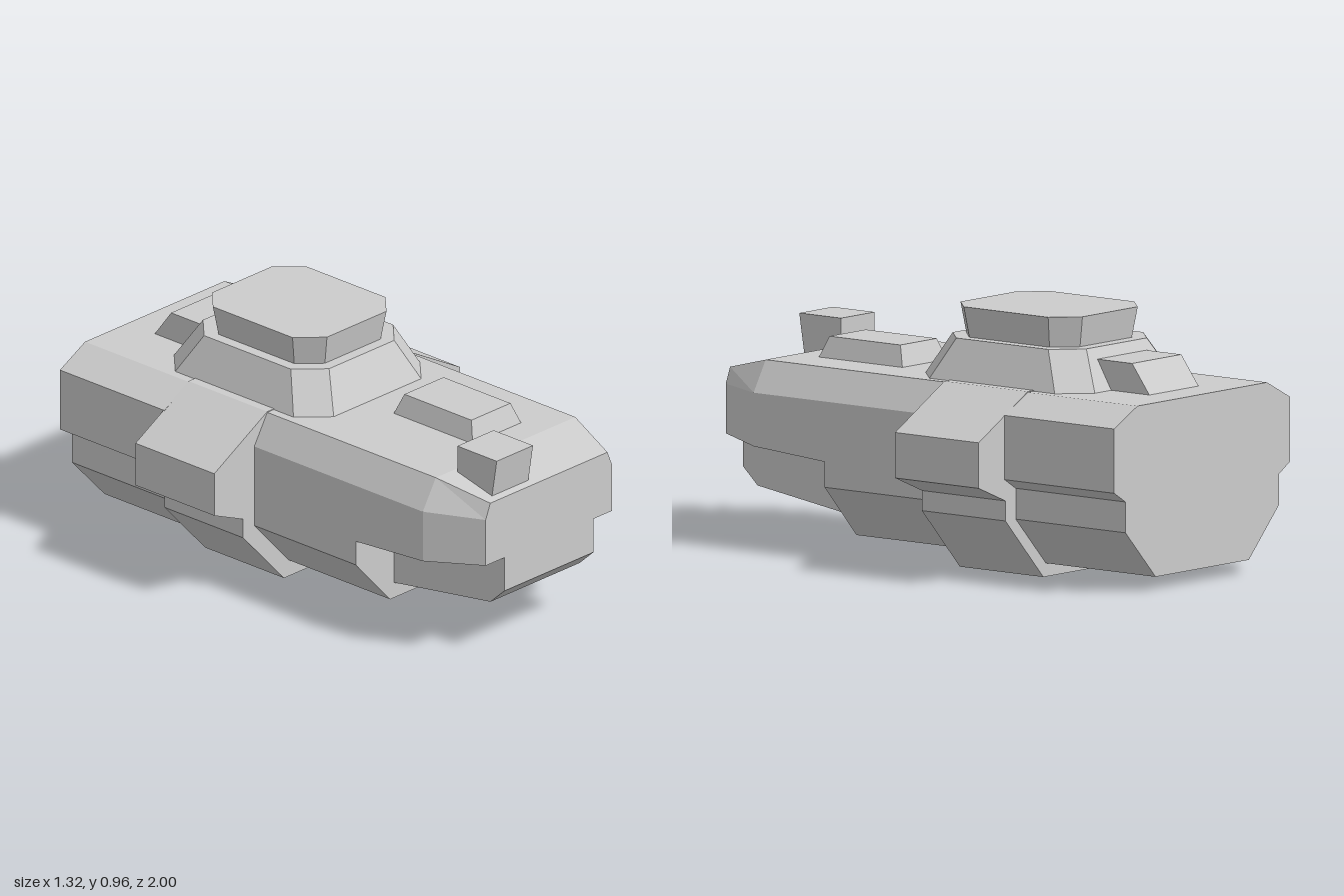
import * as THREE from 'three';

const material = new THREE.MeshStandardMaterial({ color: 0xcccccc, flatShading: true });

function add(group, name, geometry) {
  const mesh = new THREE.Mesh(geometry, material);
  mesh.name = name;
  group.add(mesh);
}

// Right-hand half outline [x, y], listed bottom to top, mirrored into a closed ring
function mirror(half) {
  return [...half, ...half.map(([x, y]) => [-x, y]).reverse()];
}

function extrude(points, depth) {
  const shape = new THREE.Shape(points.map(([x, y]) => new THREE.Vector2(x, y)));
  return new THREE.ExtrudeGeometry(shape, { depth, bevelEnabled: false });
}

// Symmetric cross-section carried from z0 to z1
function hullSection(half, z0, z1) {
  return extrude(mirror(half), z1 - z0).translate(0, 0, z0);
}

// Side outline [z, y] carried across from x0 to x1
function sideProfile(points, x0, x1) {
  return extrude(points, x1 - x0).rotateY(-Math.PI / 2).translate(x1, 0, 0);
}

// Skin over a series of matching convex rings, capped at both ends
function loft(rings) {
  const n = rings[0].length;
  const index = [];
  for (let r = 0; r < rings.length - 1; r++) {
    for (let i = 0; i < n; i++) {
      const j = (i + 1) % n;
      const a = r * n + i, b = r * n + j;
      index.push(a, b, b + n, a, b + n, a + n);
    }
  }
  const top = (rings.length - 1) * n;
  for (let i = 1; i < n - 1; i++) {
    index.push(0, i + 1, i, top, top + i, top + i + 1);
  }
  const indexed = new THREE.BufferGeometry();
  indexed.setAttribute('position', new THREE.Float32BufferAttribute(rings.flat(2), 3));
  indexed.setIndex(index);
  const geometry = indexed.toNonIndexed();
  geometry.computeVertexNormals();
  return geometry;
}

// Horizontal rectangle with cut corners (cut 0 gives a plain rectangle)
function plateRing(cx, cz, hx, hz, y, cut = 0) {
  const points = cut > 0
    ? [[hx, hz - cut], [hx, cut - hz], [hx - cut, -hz], [cut - hx, -hz],
       [-hx, cut - hz], [-hx, hz - cut], [cut - hx, hz], [hx - cut, hz]]
    : [[hx, hz], [hx, -hz], [-hx, -hz], [-hx, hz]];
  return points.map(([x, z]) => [cx + x, y, cz + z]);
}

export function createModel() {
  const model = new THREE.Group();
  model.name = 'armouredHull';

  // Main hull: rear, wide middle and forward sections
  add(model, 'rearHull', hullSection(
    [[0.27, 0.05], [0.445, 0.235], [0.445, 0.35], [0.51, 0.39], [0.51, 0.63], [0.375, 0.7]], -1, -0.47));
  add(model, 'middleHull', hullSection(
    [[0.285, 0], [0.505, 0.235], [0.505, 0.31], [0.66, 0.375], [0.66, 0.545], [0.375, 0.703]], -0.475, -0.075));
  add(model, 'forwardHull', hullSection(
    [[0.26, 0.065], [0.445, 0.265], [0.445, 0.585], [0.375, 0.7]], -0.08, 0.44));

  // Upper nose, tapering towards the front
  const noseRings = [
    [0.44, [[0.445, 0.36], [0.445, 0.585], [0.375, 0.7]]],
    [0.78, [[0.445, 0.385], [0.445, 0.585], [0.375, 0.7]]],
    [1.0, [[0.34, 0.4], [0.34, 0.585], [0.315, 0.645]]],
  ].map(([z, half]) => mirror(half).map(([x, y]) => [x, y, z]));
  add(model, 'upperNose', loft(noseRings));

  // Narrow lower nose between the front recesses
  add(model, 'lowerNose', sideProfile(
    [[0.43, 0.125], [0.93, 0.2], [1, 0.265], [1, 0.41], [0.43, 0.41]], -0.24, 0.24));

  // Turret: sloping base and flared cap
  add(model, 'turretBase', loft([
    plateRing(0, -0.275, 0.34, 0.405, 0.7, 0.105),
    plateRing(0, -0.27, 0.275, 0.32, 0.85, 0.1),
  ]));
  add(model, 'turretCap', loft([
    plateRing(0, -0.267, 0.23, 0.272, 0.85, 0.08),
    plateRing(0, -0.267, 0.25, 0.292, 0.965, 0.09),
  ]));

  // Deck fittings
  add(model, 'frontHatch', loft([
    plateRing(0.07, 0.47, 0.13, 0.2, 0.7),
    plateRing(0.07, 0.47, 0.105, 0.17, 0.778),
  ]));
  add(model, 'rearDeckBox', sideProfile(
    [[-0.6, 0.69], [-0.87, 0.69], [-0.78, 0.81], [-0.61, 0.81]], -0.145, 0.14));
  add(model, 'frontLampBox', sideProfile(
    [[0.795, 0.68], [0.97, 0.645], [0.995, 0.8], [0.795, 0.8]], -0.275, -0.08));

  // Belly plate under the rear
  add(model, 'bellyPlate', new THREE.BoxGeometry(0.22, 0.04, 0.22).translate(0, 0.04, -0.69));

  return model;
}
